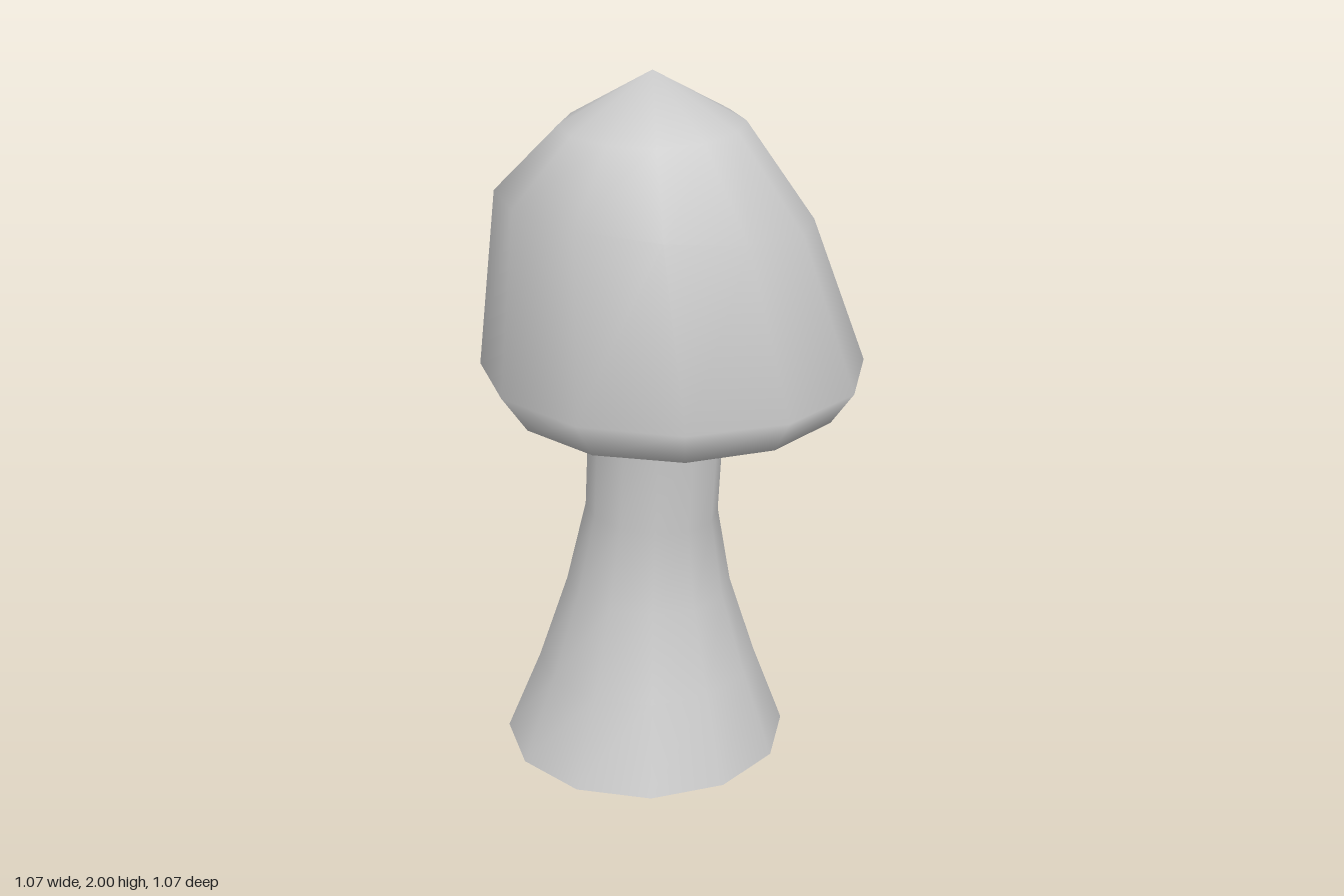
import * as THREE from 'three';

const SIDES = 12;

// Smooth skin over rings [x, y, z, radius, slopeX, slopeZ], listed bottom to top.
// A ring of radius 0 becomes a single pole point.
function loft(rings, material) {
  const points = [];
  const faces = [];
  const starts = rings.map(([cx, cy, cz, r, sx = 0, sz = 0]) => {
    const start = points.length / 3;
    const count = r === 0 ? 1 : SIDES;
    for (let j = 0; j < count; j++) {
      const a = (j / SIDES) * Math.PI * 2;
      const dx = r * Math.sin(a);
      const dz = r * Math.cos(a);
      points.push(cx + dx, cy + sx * dx + sz * dz, cz + dz);
    }
    return start;
  });
  for (let i = 0; i < rings.length - 1; i++) {
    const lowerPole = rings[i][3] === 0;
    const upperPole = rings[i + 1][3] === 0;
    for (let j = 0; j < SIDES; j++) {
      const k = (j + 1) % SIDES;
      const a = starts[i] + (lowerPole ? 0 : j);
      const b = starts[i] + (lowerPole ? 0 : k);
      const c = starts[i + 1] + (upperPole ? 0 : k);
      const d = starts[i + 1] + (upperPole ? 0 : j);
      if (!lowerPole) faces.push(a, b, c);
      if (!upperPole) faces.push(a, c, d);
    }
  }
  const geometry = new THREE.BufferGeometry();
  geometry.setAttribute('position', new THREE.Float32BufferAttribute(points, 3));
  geometry.setIndex(faces);
  geometry.computeVertexNormals();
  return new THREE.Mesh(geometry, material);
}

export function createModel() {
  const group = new THREE.Group();
  group.name = 'mushroom';
  const material = new THREE.MeshStandardMaterial({ color: 0xcccccc, side: THREE.DoubleSide });

  // Leaning, flared stem, open at the foot
  const stem = loft([
    [-0.115, 0, -0.035, 0.423],
    [-0.105, 0.25, -0.03, 0.325],
    [-0.095, 0.5, -0.025, 0.243, -0.04],
    [-0.075, 0.745, -0.01, 0.193, -0.08],
    [-0.045, 1.1, 0.01, 0.193],
  ], material);
  stem.name = 'stem';

  // Slightly lopsided cap with a flat underside
  const cap = loft([
    [0, 1.1, -0.01, 0, 0, 0],
    [0, 1.1, -0.01, 0.468, -0.02, -0.05],
    [0, 1.2, 0, 0.535, -0.03, -0.04],
    [-0.02, 1.65, 0.065, 0.425, -0.1, 0.03],
    [-0.02, 1.867, 0.08, 0.245, -0.04, -0.1],
    [-0.025, 2, 0.07, 0],
  ], material);
  cap.name = 'cap';

  group.add(stem, cap);
  return group;
}
